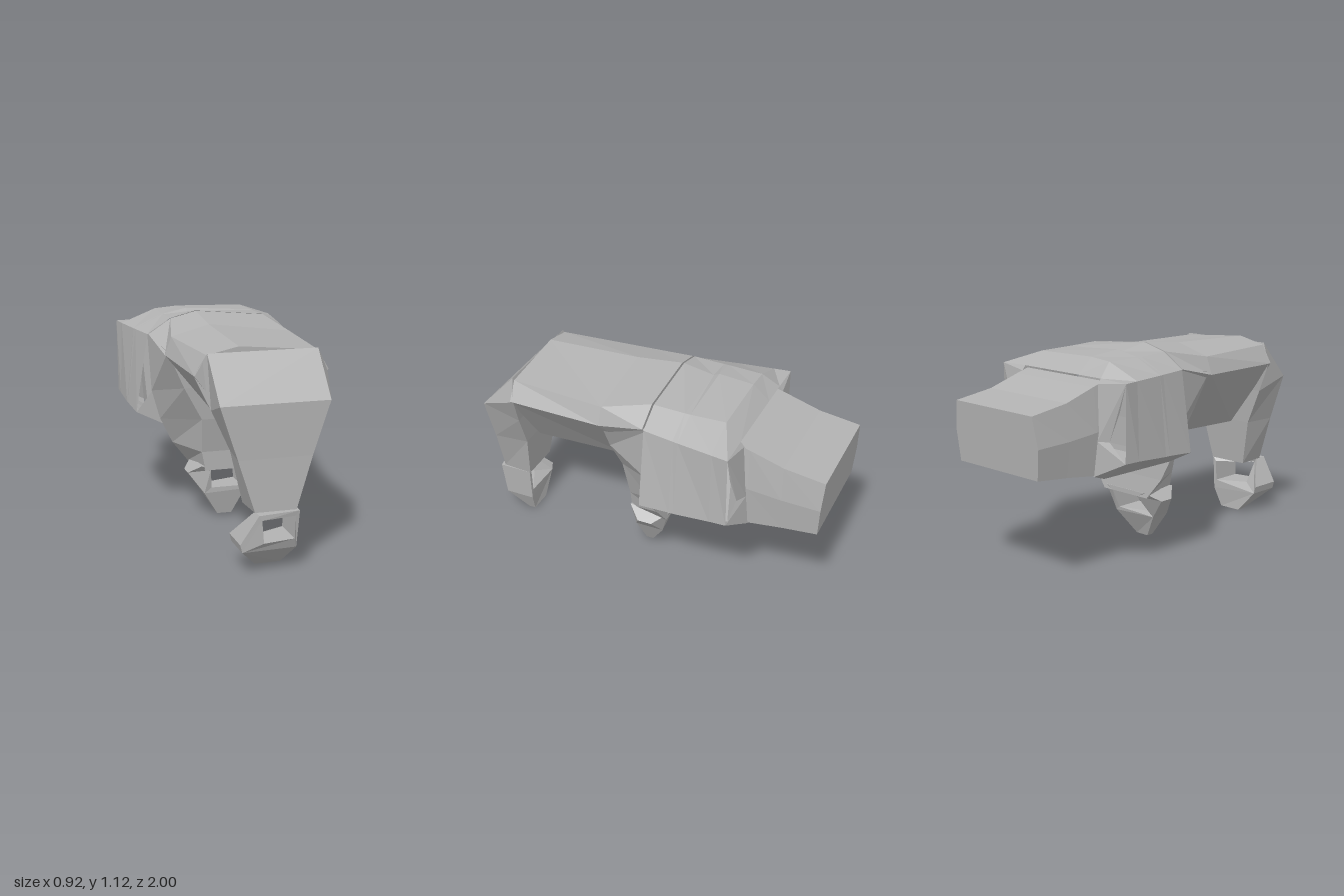
import * as THREE from 'three';

const gray = new THREE.MeshStandardMaterial({ color: 0xb2b2b2, side: THREE.DoubleSide, flatShading: true });
gray.name = 'plain gray';

function faceted(pos) {
  const g = new THREE.BufferGeometry();
  g.setAttribute('position', new THREE.Float32BufferAttribute(pos, 3));
  g.computeVertexNormals();
  return g;
}

// Faceted skin through matching cross-sections, optionally closed at the ends
function loft(sections, caps = true) {
  const pos = [];
  const tri = (a, b, c) => pos.push(...a, ...b, ...c);
  const n = sections[0].length;
  for (let i = 0; i < sections.length - 1; i++) {
    for (let j = 0; j < n; j++) {
      const k = (j + 1) % n, s = sections[i], t = sections[i + 1];
      tri(s[j], s[k], t[k]);
      tri(s[j], t[k], t[j]);
    }
  }
  const first = sections[0], last = sections[sections.length - 1];
  for (let j = 1; caps && j < n - 1; j++) {
    tri(first[0], first[j + 1], first[j]);
    tri(last[0], last[j], last[j + 1]);
  }
  return faceted(pos);
}

// Leg section: front pair and back pair, each given as half width, height, z
const legSection = ([fx, fy, fz, bx, by, bz]) =>
  [[fx, fy, fz], [-fx, fy, fz], [-bx, by, bz], [bx, by, bz]];

// Foot: pierced plate whose depth follows a rule of position
function foot(outline, hole, depthAt) {
  const shape = new THREE.Shape(outline.map(p => new THREE.Vector2(...p)));
  shape.holes.push(new THREE.Path(hole.map(p => new THREE.Vector2(...p))));
  const g = new THREE.ExtrudeGeometry(shape, { depth: 1, bevelEnabled: false });
  const p = g.attributes.position;
  for (let i = 0; i < p.count; i++) {
    const [back, front] = depthAt(p.getX(i), p.getY(i));
    p.setZ(i, back + (front - back) * p.getZ(i));
  }
  g.computeVertexNormals();
  return g;
}

export function createModel() {
  const group = new THREE.Group();
  const add = (name, geometry) => {
    const m = new THREE.Mesh(geometry, gray);
    m.name = name;
    group.add(m);
  };

  // Long body, wide on top and narrowing to a keel
  const body = [
    // z, side half width, side y, top half width, top y, crown y, keel y
    [0.73, 0.34, 0.93, 0.28, 1.03, 1.065, 0.555],
    [0.2, 0.355, 0.935, 0.32, 1.03, 1.085, 0.57],
    [-0.06, 0.38, 1.0, 0.26, 1.08, 1.115, 0.57],
  ].map(([z, w, sy, t, ty, cy, ky]) => [
    [-0.06, ky, z], [-w, sy, z], [-t, ty, z], [-0.12, cy, z], [t, ty, z], [w, sy, z], [0.06, ky, z],
  ]);
  add('body', loft(body));

  // Shoulder shell around the rear of the body, its sides leaning in at the front
  const shell = [
    // z, bottom y, low half width, low y, edge half width, top half width, top y, crown y
    [-0.07, 0.5, 0.45, 0.575, 0.385, 0.26, 1.08, 1.115],
    [-0.24, 0.5, 0.46, 0.59, 0.412, 0.26, 1.075, 1.085],
    [-0.27, 0.5, 0.46, 0.59, 0.417, 0.26, 1.075, 1.1],
    [-0.46, 0.5, 0.455, 0.6, 0.443, 0.25, 1.075, 1.085],
    [-0.55, 0.5, 0.45, 0.6, 0.455, 0.28, 1.005, 1.005],
  ].map(([z, by, w, ly, ex, t, ty, cy]) => [
    [-0.3, by, z], [-w, ly, z], [-ex, 1.0, z], [-t, ty, z], [-0.12, cy, z],
    [t, ty, z], [ex, 1.0, z], [w, ly, z], [0.3, by, z],
  ]);
  add('shoulderShell', loft(shell, false));

  // Webs that nearly close the shell, front and back, on both sides
  const webs = [
    [0.45, 0.575, -0.07], [0.36, 0.69, -0.07], [0.3, 0.5, -0.07],
    [0.45, 0.6, -0.55], [0.29, 0.52, -0.61], [0.305, 0.7, -0.6],
    [0.45, 0.6, -0.55], [0.305, 0.7, -0.6], [0.36, 0.7, -0.57],
    [0.45, 0.6, -0.55], [0.3, 0.5, -0.55], [0.29, 0.52, -0.61],
    [0.455, 1.0, -0.55], [0.41, 0.85, -0.55], [0.36, 0.7, -0.57],
    [0.455, 1.0, -0.55], [0.36, 0.7, -0.57], [0.305, 0.7, -0.6],
    [0.455, 1.0, -0.55], [0.305, 0.7, -0.6], [0.28, 0.98, -0.57],
    [0.455, 1.0, -0.55], [0.28, 0.98, -0.57], [0.28, 1.005, -0.55],
  ];
  for (const [name, s] of [['leftWebs', 1], ['rightWebs', -1]]) {
    add(name, faceted(webs.flatMap(([x, y, z]) => [s * x, y, z])));
  }

  // Tapered rear block
  const rear = [
    // z at top, z at bottom, bottom y, top y
    [-0.53, -0.5, 0.505, 0.99],
    [-0.6, -0.61, 0.525, 0.97],
    [-0.78, -0.79, 0.55, 0.915],
    [-1.0, -0.98, 0.57, 0.885],
  ].map(([zt, zb, by, ty]) => [
    [-0.29, by, zb], [-0.31, (by + ty) / 2, (zt + zb) / 2], [-0.28, ty, zt],
    [0.285, ty, zt], [0.305, (by + ty) / 2, (zt + zb) / 2], [0.29, by, zb],
  ]);
  add('rearBlock', loft(rear));

  // Front leg with a flat tapering face
  add('frontLeg', loft([
    [0.28, 1.04, 0.74, 0.34, 0.93, 0.71],
    [0.275, 0.825, 0.94, 0.26, 0.76, 0.735],
    [0.187, 0.56, 0.94, 0.17, 0.56, 0.75],
    [0.105, 0.3, 0.95, 0.115, 0.3, 0.78],
  ].map(legSection)));

  // Middle leg, flaring toward the back edge
  add('middleLeg', loft([
    [0.34, 0.95, 0.2, 0.38, 1.0, -0.09],
    [0.25, 0.75, 0.19, 0.365, 0.69, -0.07],
    [0.15, 0.57, 0.17, 0.32, 0.53, -0.07],
    [0.14, 0.38, 0.13, 0.25, 0.39, -0.08],
    [0.12, 0.275, 0.13, 0.16, 0.275, -0.095],
  ].map(legSection)));

  // Front foot: spiked prong on one side, deep thin prong on the other
  const frontDepth = (x, y) => {
    if (y < 0.05) return [0.8, 0.84];
    if (x > -0.05) return [0.785, y < 0.15 ? 0.95 : 0.97];
    if (x < -0.15) return [0.81, 0.99];
    return [y < 0.2 ? 0.87 : 0.93, 1.0];
  };
  add('frontFoot', foot(
    [[-0.1, 0.3], [-0.19, 0.16], [-0.18, 0.12], [-0.07, 0], [0.06, 0], [0.105, 0.11], [0.115, 0.3]],
    [[-0.075, 0.16], [-0.085, 0.275], [0.095, 0.275], [0.09, 0.16]], frontDepth));

  // Middle foot: side corners mid-depth, narrowing to a blunt tip
  const middleDepth = (x, y) => {
    if (y < 0.05) return [0.04, 0.08];
    if (Math.abs(x) > 0.19) return [-0.02, 0.06];
    if (y < 0.2) return [x < 0 ? 0 : -0.05, 0.11];
    return [-0.095, 0.13];
  };
  add('middleFoot', foot(
    [[-0.14, 0.3], [-0.2, 0.25], [-0.12, 0.14], [-0.04, 0.01], [0.04, 0.01], [0.11, 0.15], [0.2, 0.25], [0.14, 0.3]],
    [[-0.08, 0.17], [-0.09, 0.275], [0.095, 0.275], [0.09, 0.17]], middleDepth));

  return group;
}
